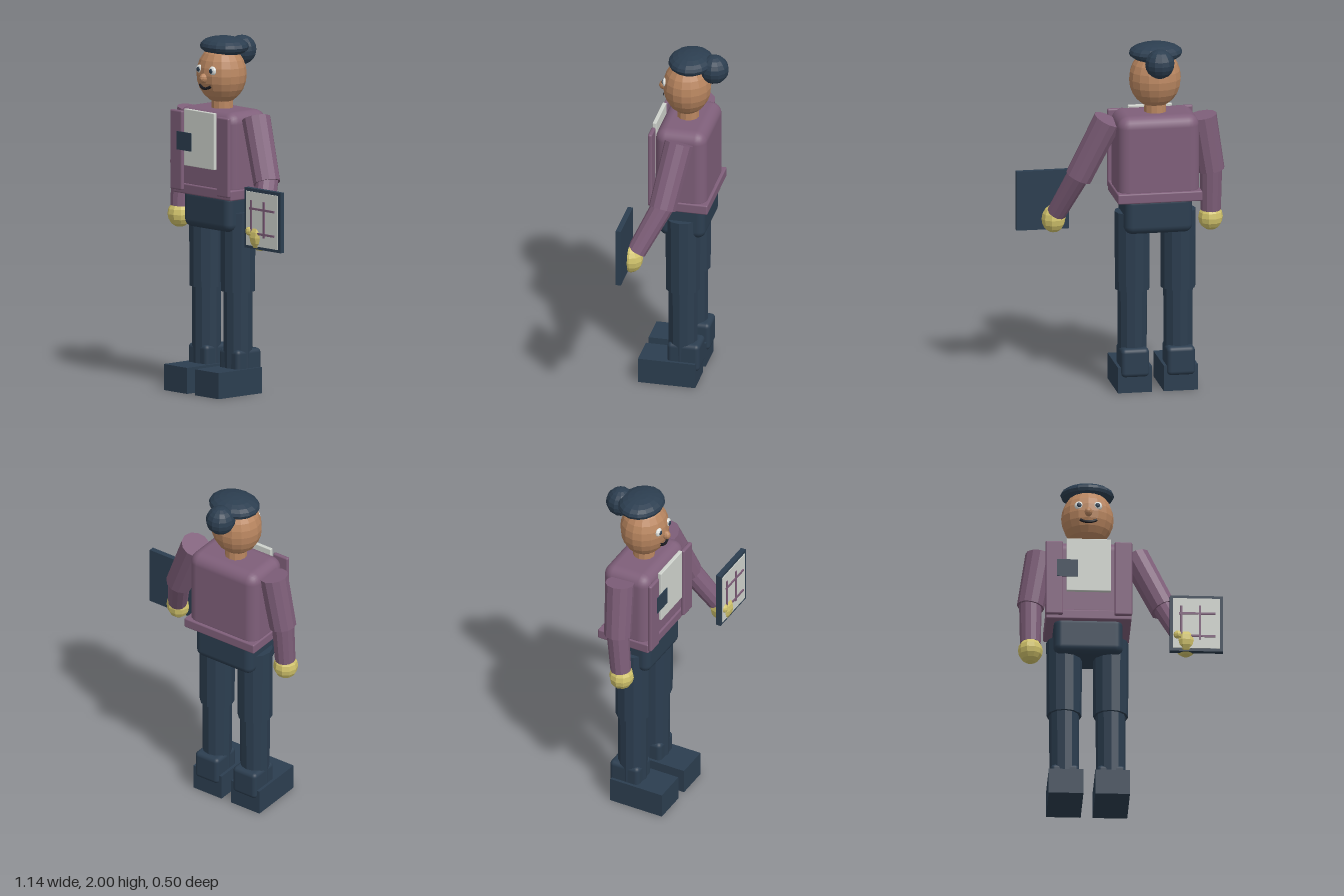
import * as THREE from 'three';
import { RoundedBoxGeometry } from 'three/addons/geometries/RoundedBoxGeometry.js';

const mat = (name, hex) => {
  const m = new THREE.MeshStandardMaterial({ color: hex });
  m.name = name;
  return m;
};

export function createModel() {
  const model = new THREE.Group();
  model.name = 'figure';
  const navy = mat('navy', 0x2c3e50);
  const plum = mat('plum', 0x7f5f7a);
  const skin = mat('skin', 0xb98660);
  const glove = mat('glove yellow', 0xd2c46c);
  const paper = mat('pale paper', 0xcfd3cd);
  const eyeWhite = mat('eye white', 0xe2e4e0);
  const black = mat('black', 0x1a1a20);
  const cx = -0.175; // body centre line

  const add = (name, geo, material, pos = [0, 0, 0], parent = model) => {
    const mesh = new THREE.Mesh(geo, material);
    mesh.name = name;
    mesh.position.set(...pos);
    parent.add(mesh);
    return mesh;
  };
  const faceted = (geo) => {
    const g = geo.toNonIndexed();
    g.computeVertexNormals();
    return g;
  };
  // Box given by its two opposite corners; r rounds the edges
  const box = (name, material, a, b, r = 0) => {
    const s = a.map((v, i) => b[i] - v);
    const geo = r ? new RoundedBoxGeometry(...s, 3, r) : new THREE.BoxGeometry(...s);
    return add(name, geo, material, a.map((v, i) => (v + b[i]) / 2));
  };
  const ball = (name, material, pos, radii, w = 14, h = 10) =>
    add(name, faceted(new THREE.SphereGeometry(1, w, h).scale(...radii)), material, pos);
  // Tapered limb from point a to point b
  const limb = (name, material, a, b, ra, rb, sides = 12) => {
    const A = new THREE.Vector3(...a), B = new THREE.Vector3(...b);
    const dir = A.clone().sub(B);
    const geo = faceted(new THREE.CylinderGeometry(ra, rb, dir.length(), sides));
    const mesh = add(name, geo, material, A.add(B).multiplyScalar(0.5).toArray());
    mesh.quaternion.setFromUnitVectors(new THREE.Vector3(0, 1, 0), dir.normalize());
    return mesh;
  };

  // Legs and shoes
  for (const [side, s] of [['right', -1], ['left', 1]]) {
    const x = cx + s * 0.13;
    limb(side + 'Thigh', navy, [x, 1.03, -0.02], [x, 0.58, -0.02], 0.1, 0.098);
    limb(side + 'Shin', navy, [x, 0.62, -0.02], [x, 0.12, -0.02], 0.084, 0.082);
    box(side + 'Ankle', navy, [x - 0.08, 0.09, -0.13], [x + 0.08, 0.255, 0.055], 0.025);
    box(side + 'Shoe', navy, [x - 0.097, 0, -0.112], [x + 0.097, 0.147, 0.215]);
  }

  // Trunk and jacket
  box('pelvis', navy, [cx - 0.193, 0.92, -0.155], [cx + 0.193, 1.14, 0.11], 0.045);
  box('torso', plum, [cx - 0.232, 1.11, -0.17], [cx + 0.232, 1.6, 0.125], 0.065);
  box('jacketHem', plum, [cx - 0.24, 1.11, -0.185], [cx + 0.24, 1.168, 0.135], 0.008);
  for (const [side, s] of [['right', -1], ['left', 1]]) {
    const x = cx + s * 0.193;
    box(side + 'JacketPanel', plum, [x - 0.05, 1.13, 0.132], [x + 0.05, 1.58, 0.157], 0.01);
  }
  box('shirtFront', paper, [cx - 0.125, 1.275, 0.134], [cx + 0.125, 1.595, 0.156], 0.004);
  box('chestPocket', navy, [-0.353, 1.36, 0.156], [-0.235, 1.463, 0.162]);

  // Right arm, hanging
  limb('rightUpperArm', plum, [-0.44, 1.565, -0.03], [-0.493, 1.245, -0.015], 0.082, 0.077);
  limb('rightForearm', plum, [-0.493, 1.27, -0.015], [-0.495, 1.01, 0.005], 0.064, 0.058);
  ball('rightHand', glove, [-0.495, 0.965, 0.01], [0.07, 0.075, 0.07], 10, 8);

  // Left arm, holding the clipboard
  limb('leftUpperArm', plum, [0.095, 1.565, -0.03], [0.25, 1.225, 0.03], 0.082, 0.077);
  limb('leftForearm', plum, [0.245, 1.25, 0.022], [0.352, 0.99, 0.155], 0.064, 0.055);
  ball('leftHand', glove, [0.365, 0.95, 0.18], [0.068, 0.08, 0.066], 10, 8);
  ball('leftThumb', glove, [0.318, 0.982, 0.223], [0.026, 0.026, 0.022], 8, 6);

  // Clipboard with a ruled sheet
  box('clipboard', navy, [0.275, 0.885, 0.192], [0.572, 1.225, 0.222]);
  box('sheet', paper, [0.292, 0.902, 0.222], [0.555, 1.207, 0.227]);
  for (const x of [0.338, 0.443])
    box('sheetColumnLine', plum, [x - 0.006, 0.955, 0.227], [x + 0.006, 1.16, 0.233]);
  for (const y of [0.975, 1.113])
    box('sheetRowLine', plum, [0.325, y - 0.006, 0.227], [0.528, y + 0.006, 0.233]);

  // Head
  limb('neck', skin, [cx, 1.68, -0.02], [cx, 1.58, -0.02], 0.06, 0.063);
  ball('head', skin, [cx, 1.79, -0.015], [0.147, 0.166, 0.135], 16, 12);
  ball('nose', skin, [cx, 1.777, 0.12], [0.022, 0.027, 0.027], 10, 8);
  for (const s of [-1, 1]) {
    const x = cx + s * 0.052;
    ball('eye', eyeWhite, [x, 1.822, 0.1], [0.026, 0.026, 0.016], 12, 8);
    ball('pupil', navy, [x, 1.822, 0.114], [0.013, 0.014, 0.006], 10, 6);
  }
  const smile = new THREE.CatmullRomCurve3([
    [-0.046, 1.735, 0.105], [-0.022, 1.722, 0.113], [0, 1.719, 0.116],
    [0.022, 1.722, 0.113], [0.046, 1.735, 0.105],
  ].map(([x, y, z]) => new THREE.Vector3(cx + x, y, z)));
  add('mouth', new THREE.TubeGeometry(smile, 12, 0.008, 6), black);

  // Hair cap and bun
  ball('hairCap', navy, [cx, 1.945, -0.036], [0.151, 0.056, 0.126], 16, 10);
  ball('hairBun', navy, [cx, 1.91, -0.168], [0.083, 0.083, 0.083], 12, 10);

  return model;
}
